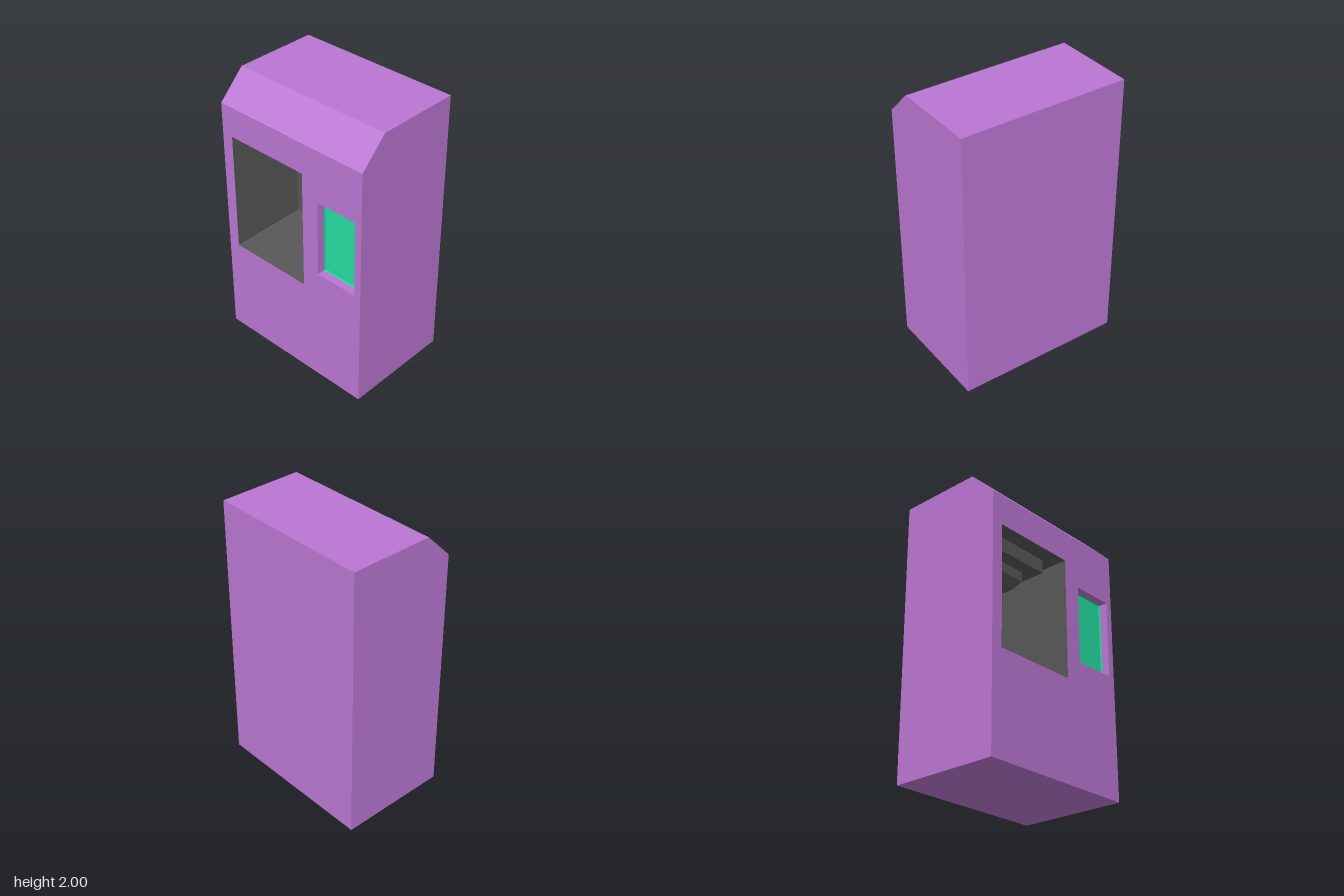
import * as THREE from 'three';

const purple = new THREE.MeshStandardMaterial({ color: 0xbb76d3 });
const dark = new THREE.MeshStandardMaterial({ color: 0x575757 });
const green = new THREE.MeshStandardMaterial({ color: 0x27dca2 });

const W = 0.605, FRONT = 0.4;
const niche = { x0: -0.52, x1: 0.11, y0: 0.72, y1: 1.59 };
const screen = { x0: 0.24, x1: 0.555, y0: 0.875, y1: 1.435 };

// Corners of a rectangle at depth z, counter-clockwise seen from the front
const corners = (r, z) => [[r.x0, r.y0, z], [r.x1, r.y0, z], [r.x1, r.y1, z], [r.x0, r.y1, z]];

// Flat-shaded geometry from four-cornered faces, counter-clockwise from outside
function quads(faces) {
  const pos = faces.flatMap(([a, b, c, d]) => [a, b, c, a, c, d]).flat();
  const g = new THREE.BufferGeometry();
  g.setAttribute('position', new THREE.Float32BufferAttribute(pos, 3));
  g.computeVertexNormals();
  return g;
}

// Inward-facing walls of a recess, optionally closed at the back
function recess(r, zFront, zBack, closed) {
  const a = corners(r, zFront), b = corners(r, zBack);
  const faces = a.map((p, i) => {
    const j = (i + 1) % 4;
    return [p, a[j], b[j], b[i]];
  });
  if (closed) faces.push(b);
  return quads(faces);
}

export function createModel() {
  const group = new THREE.Group();
  const add = (name, geometry, material, parent = group) => {
    const mesh = new THREE.Mesh(geometry, material);
    mesh.name = name;
    parent.add(mesh);
    return mesh;
  };

  const cabinet = new THREE.Group();
  cabinet.name = 'cabinet';
  group.add(cabinet);

  // Cabinet wrap: slanted top edge, top, back and underside (profile as z, y)
  const profile = [[FRONT, 1.81], [0.21, 2], [-0.4, 2], [-0.4, 0], [FRONT, 0]];
  const wrap = profile.slice(0, -1).map(([z, y], i) => {
    const [z2, y2] = profile[i + 1];
    return [[-W, y, z], [W, y, z], [W, y2, z2], [-W, y2, z2]];
  });
  add('shell', quads(wrap), purple, cabinet);

  // Side walls
  for (const s of [1, -1]) {
    const outline = new THREE.Shape(profile.map(([z, y]) => new THREE.Vector2(-s * z, y)));
    const side = add(s > 0 ? 'leftSide' : 'rightSide', new THREE.ShapeGeometry(outline), purple, cabinet);
    side.rotation.y = s * Math.PI / 2;
    side.position.x = s * W;
  }

  // Front panel with two openings
  const path = (r, P) => new P(corners(r, 0).map(([x, y]) => new THREE.Vector2(x, y)));
  const face = path({ x0: -W, x1: W, y0: 0, y1: 1.81 }, THREE.Shape);
  face.holes.push(path(niche, THREE.Path), path(screen, THREE.Path));
  add('frontPanel', new THREE.ShapeGeometry(face), purple, cabinet).position.z = FRONT;

  // Dispensing niche and inset screen
  add('dispensingNiche', recess(niche, FRONT, -0.18, true), dark);
  add('screenSurround', recess(screen, FRONT, 0.345, false), purple);
  add('screen', recess(screen, 0.345, 0.33, true), green);

  // Dispenser head hanging from the niche ceiling
  const dispenser = new THREE.Group();
  dispenser.name = 'dispenser';
  dispenser.position.set(-0.205, 0, 0.085);
  group.add(dispenser);
  add('dispenserBlock', new THREE.BoxGeometry(0.41, 0.1, 0.41), dark, dispenser).position.y = 1.539;

  // Square nozzle with a tapered tip
  const points = [[0, 1.36], [0.0625, 1.36], [0.1075, 1.42], [0.1075, 1.49]]
    .map(([r, y]) => new THREE.Vector2(r * Math.SQRT2, y));
  const nozzle = new THREE.LatheGeometry(points, 4, Math.PI / 4).toNonIndexed();
  nozzle.computeVertexNormals();
  add('nozzle', nozzle, dark, dispenser);

  return group;
}
